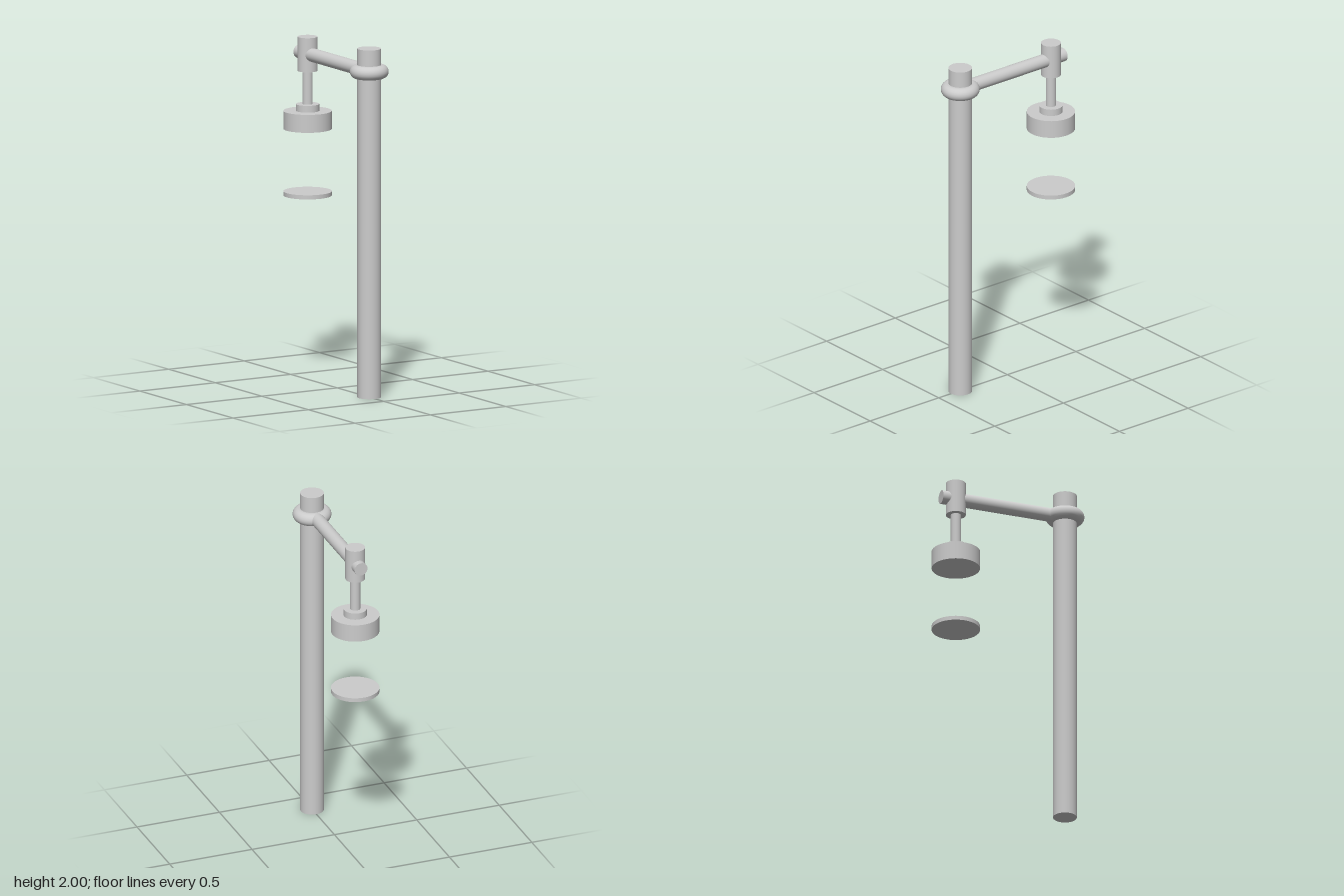
import * as THREE from 'three';

const POLE_Z = 0.343, HEAD_Z = -0.318, ARM_Y = 1.868, ARM_END = -0.408;

export function createModel() {
  const model = new THREE.Group();
  model.name = 'standWithHangingHead';
  const material = new THREE.MeshStandardMaterial({ color: 0xcccccc });

  const add = (name, geometry, x, y, z) => {
    const mesh = new THREE.Mesh(geometry, material);
    mesh.name = name;
    mesh.position.set(x, y, z);
    model.add(mesh);
    return mesh;
  };
  // Upright cylinder between two heights
  const upright = (name, radius, y0, y1, z) =>
    add(name, new THREE.CylinderGeometry(radius, radius, y1 - y0, 48), 0, (y0 + y1) / 2, z);

  // Pole and the rounded ring around it
  upright('pole', 0.0675, 0, 2, POLE_Z);
  add('poleRing', new THREE.TorusGeometry(0.071, 0.039, 20, 64), 0, ARM_Y, POLE_Z).rotation.x = Math.PI / 2;

  // Horizontal arm, running through the clamp
  const arm = new THREE.CylinderGeometry(0.039, 0.039, POLE_Z - ARM_END, 40);
  add('arm', arm, 0, ARM_Y, (POLE_Z + ARM_END) / 2).rotation.x = Math.PI / 2;

  // Hanging assembly, top to bottom
  upright('clamp', 0.0565, 1.77, 1.966, HEAD_Z);
  upright('rod', 0.029, 1.56, 1.79, HEAD_Z);
  upright('headCollar', 0.066, 1.54, 1.58, HEAD_Z);
  upright('head', 0.137, 1.438, 1.541, HEAD_Z);

  // Separate disc below the head
  upright('lowerDisc', 0.137, 1.056, 1.08, HEAD_Z);

  return model;
}
